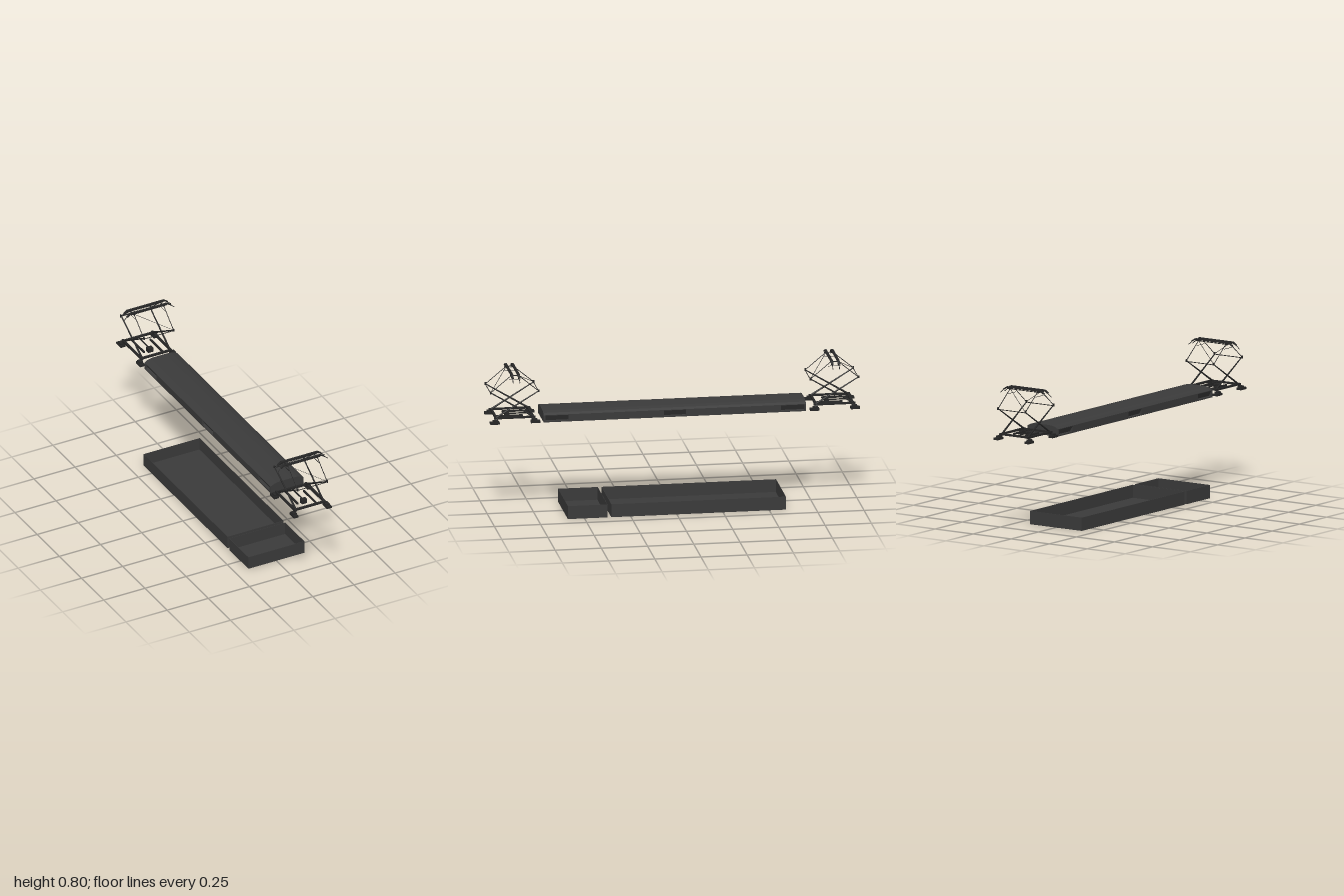
import * as THREE from 'three';

export function createModel() {
  const model = new THREE.Group();
  const bodyGrey = new THREE.MeshStandardMaterial({ color: 0x3a3a3a });
  bodyGrey.name = 'bodyGrey';
  const ironBlack = new THREE.MeshStandardMaterial({ color: 0x262626 });
  ironBlack.name = 'ironBlack';

  function add(parent, name, geometry, material) {
    const mesh = new THREE.Mesh(geometry, material);
    mesh.name = name;
    parent.add(mesh);
    return mesh;
  }
  function box(parent, name, w, h, d, x, y, z, material = ironBlack) {
    const mesh = add(parent, name, new THREE.BoxGeometry(w, h, d), material);
    mesh.position.set(x, y, z);
    return mesh;
  }
  // Round bar between two points, optionally tapered
  function bar(parent, name, a, b, r0, r1 = r0) {
    const p = new THREE.Vector3(...a), q = new THREE.Vector3(...b);
    const dir = q.clone().sub(p);
    const mesh = add(parent, name, new THREE.CylinderGeometry(r1, r0, dir.length(), 6), ironBlack);
    mesh.position.copy(p).add(q).multiplyScalar(0.5);
    mesh.quaternion.setFromUnitVectors(new THREE.Vector3(0, 1, 0), dir.normalize());
    return mesh;
  }

  // Open trays with thin walls
  function tray(name, z0, z1) {
    const g = new THREE.Group();
    g.name = name;
    model.add(g);
    const w = 0.34, h = 0.072, t = 0.002, len = z1 - z0, mid = (z0 + z1) / 2;
    box(g, 'trayFloor', w, t, len, 0, t / 2, mid, bodyGrey);
    for (const s of [-1, 1]) {
      box(g, 'traySide', t, h, len, s * (w - t) / 2, h / 2, mid, bodyGrey);
      box(g, 'trayEnd', w - 2 * t, h, t, 0, h / 2, mid + s * (len - t) / 2, bodyGrey);
    }
  }
  tray('longTray', -0.59, 0.355);
  tray('shortTray', 0.375, 0.59);

  // Roof: one arched section, with slanted recesses at the ends and middle
  const roof = new THREE.Group();
  roof.name = 'roof';
  model.add(roof);
  function roofSection(notched) {
    const half = [[0.1, 0.523]];
    if (notched) half.push([0.1, 0.53], [0.082, 0.53], [0.1, 0.56]);
    half.push([0.1, 0.563], [0.085, 0.572], [0.06, 0.579], [0.03, 0.58]);
    const pts = half.concat(half.slice().reverse().map(([x, y]) => [-x, y]));
    return new THREE.Shape(pts.map(([x, y]) => new THREE.Vector2(x, y)));
  }
  const cuts = [-0.71, -0.7, -0.575, -0.06, 0.06, 0.575, 0.7, 0.71];
  for (let i = 0; i < cuts.length - 1; i++) {
    const notched = i % 2 === 1;
    const geo = new THREE.ExtrudeGeometry(roofSection(notched), {
      depth: cuts[i + 1] - cuts[i], bevelEnabled: false,
    });
    geo.translate(0, 0, cuts[i]);
    add(roof, notched ? 'recessedRoofSection' : 'roofSection', geo, bodyGrey);
  }

  // Current collector, built around z = 0 and placed at each end
  function collector(name, z) {
    const g = new THREE.Group();
    g.name = name;
    g.position.z = z;
    model.add(g);

    // Base frame and feet
    for (const sx of [-1, 1]) {
      box(g, 'sideRail', 0.012, 0.01, 0.225, sx * 0.09, 0.555, 0);
      for (const sz of [-1, 1]) {
        box(g, 'foot', 0.028, 0.012, 0.05, sx * 0.101, 0.532, sz * 0.11);
        box(g, 'footBlock', 0.022, 0.01, 0.028, sx * 0.1, 0.542, sz * 0.106);
        bar(g, 'footPost', [sx * 0.095, 0.54, sz * 0.108], [sx * 0.09, 0.556, sz * 0.09], 0.006);
      }
    }
    for (const sz of [-1, 1]) box(g, 'crossBeam', 0.19, 0.01, 0.012, 0, 0.555, sz * 0.1);
    box(g, 'frontSpring', 0.009, 0.009, 0.15, 0.045, 0.553, 0.025);
    box(g, 'rearSpring', 0.009, 0.009, 0.15, -0.045, 0.553, -0.025);
    box(g, 'centreRod', 0.006, 0.006, 0.13, 0, 0.553, -0.035);
    box(g, 'driveBox', 0.032, 0.025, 0.025, 0, 0.548, 0.03);

    // Scissor arms: lower arms cross, upper frames lean in to the head
    for (const sz of [-1, 1]) {
      const knee = sz * 0.13, top = sz * 0.018;
      for (const sx of [-1, 1]) {
        bar(g, 'lowerArm', [sx * 0.085, 0.557, -sz * 0.1], [sx * 0.088, 0.697, knee], 0.0055, 0.003);
        bar(g, 'upperArm', [sx * 0.09, 0.697, knee], [sx * 0.09, 0.79, top], 0.002);
        box(g, 'kneeJoint', 0.007, 0.014, 0.009, sx * 0.09, 0.698, knee);
      }
      bar(g, 'kneeBar', [-0.09, 0.694, knee], [0.09, 0.694, knee], 0.0022);
      bar(g, 'topBar', [-0.107, 0.789, top], [0.107, 0.789, top], 0.0022);
      bar(g, 'diagonalBrace', [sz * 0.09, 0.697, knee], [-sz * 0.09, 0.789, top], 0.0013);

      // Contact strip with drooping ends and horns
      box(g, 'contactStrip', 0.224, 0.006, 0.014, 0, 0.797, top);
      for (const sx of [-1, 1]) {
        const droop = box(g, 'stripEnd', 0.027, 0.005, 0.013, sx * 0.121, 0.791, top);
        droop.rotation.z = -sx * 0.58;
        bar(g, 'horn', [sx * 0.13, 0.784, top], [sx * 0.154, 0.764, top], 0.002);
        box(g, 'stripBracket', 0.006, 0.012, 0.01, sx * 0.09, 0.791, top);
      }
    }
    for (const sx of [-1, 1]) {
      box(g, 'headLink', 0.004, 0.004, 0.05, sx * 0.09, 0.789, 0);
      bar(g, 'headStrut', [sx * 0.09, 0.765, 0.035], [sx * 0.09, 0.765, -0.035], 0.0013);
    }
  }
  collector('frontCollector', 0.865);
  collector('rearCollector', -0.865);
  return model;
}
